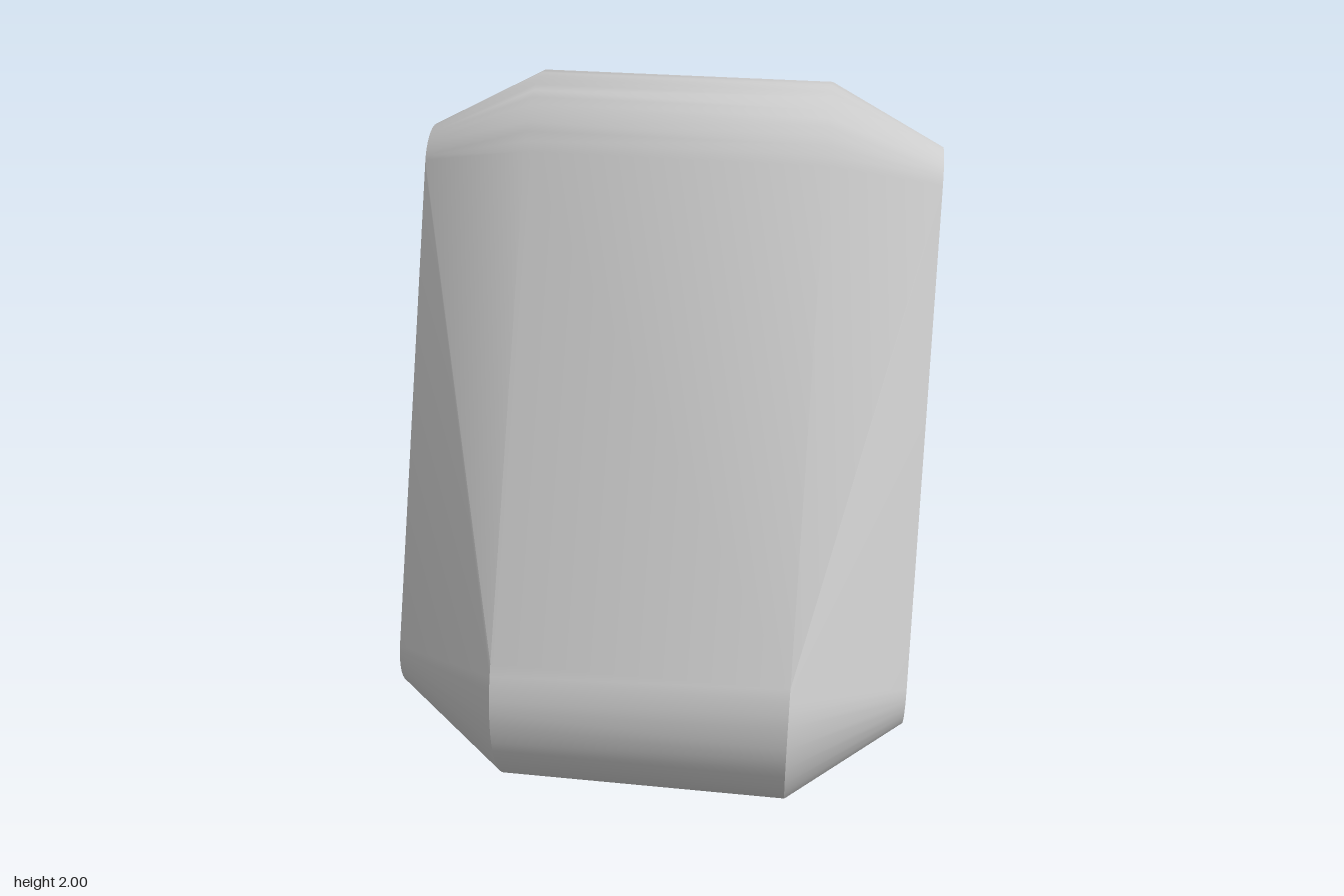
import * as THREE from 'three';
import { ConvexGeometry } from 'three/addons/geometries/ConvexGeometry.js';
import { toCreasedNormals } from 'three/addons/utils/BufferGeometryUtils.js';

// Ring of points around an x axis through (y, z)
function ring(x, y, z, radius, segments = 64) {
  return Array.from({ length: segments }, (_, i) => {
    const a = (i / segments) * Math.PI * 2;
    return new THREE.Vector3(x, y + radius * Math.sin(a), z + radius * Math.cos(a));
  });
}

export function createModel() {
  const group = new THREE.Group();
  group.name = 'slantedBlock';
  const grey = new THREE.MeshStandardMaterial({ color: 0xcccccc });
  grey.name = 'light grey';

  const low = [0.39, 0.375], high = [1.69, -0.37];
  // Peak of the flat back facet
  const points = [new THREE.Vector3(0, 1.8, -0.763)];
  for (const side of [-1, 1]) {
    // Wide rings bound the middle, narrow rings bound the flat side caps
    points.push(
      ...ring(side * 0.437, ...low, 0.39),
      ...ring(side * 0.437, ...high, 0.31),
      ...ring(side * 0.78, 0.395, 0.37, 0.14),
      ...ring(side * 0.78, 1.682, -0.37, 0.14),
      // Upright corners of the back facet
      new THREE.Vector3(side * 0.437, 1.69, -0.763),
      new THREE.Vector3(side * 0.437, 1.58, -0.763),
    );
  }

  // Taut skin over the rings, smooth on the rounds and sharp at the bevels
  const body = new THREE.Mesh(toCreasedNormals(new ConvexGeometry(points), 0.56), grey);
  body.name = 'body';
  group.add(body);
  return group;
}
